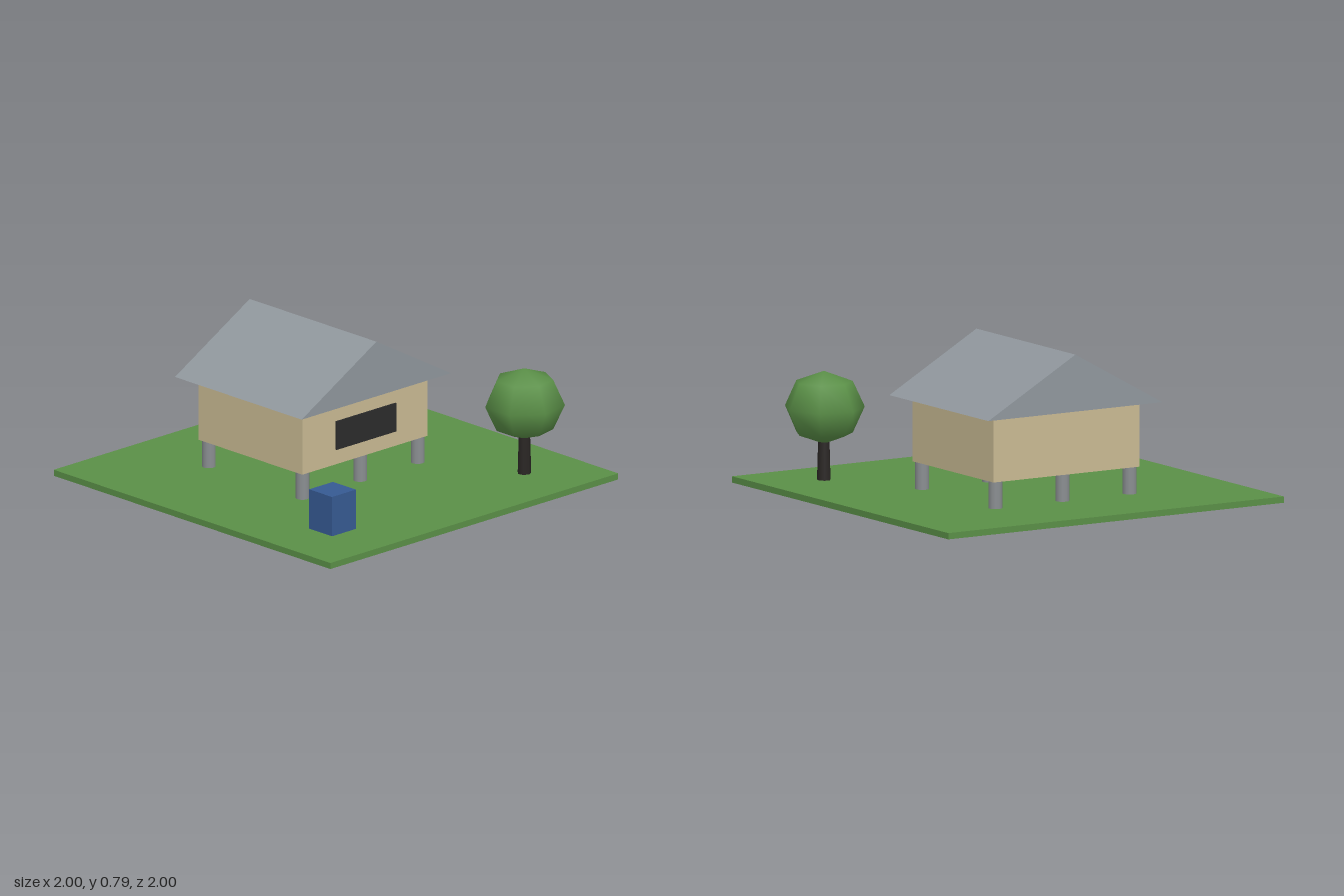
import * as THREE from 'three';

const material = (name, color) => {
  const m = new THREE.MeshStandardMaterial({ color });
  m.name = name;
  return m;
};

export function createModel() {
  const green = material('leaf green', 0x5a8f47);
  const sand = material('sand wall', 0xc9ba93);
  const roofGrey = material('roof grey', 0x90979d);
  const postGrey = material('post grey', 0x8a8e91);
  const dark = material('dark glass', 0x2b2b2b);
  const bark = material('dark bark', 0x2a2624);
  const blue = material('blue', 0x365a92);

  const model = new THREE.Group();
  model.name = 'stiltHouseYard';

  const add = (parent, name, geometry, mat, x = 0, y = 0, z = 0) => {
    const mesh = new THREE.Mesh(geometry, mat);
    mesh.name = name;
    mesh.position.set(x, y, z);
    parent.add(mesh);
    return mesh;
  };
  // Box given by its lower and upper limits on each axis
  const addBox = (parent, name, mat, [x0, x1], [y0, y1], [z0, z1]) =>
    add(parent, name, new THREE.BoxGeometry(x1 - x0, y1 - y0, z1 - z0), mat,
      (x0 + x1) / 2, (y0 + y1) / 2, (z0 + z1) / 2);

  // Lawn slab
  addBox(model, 'lawn', green, [-1, 1], [0, 0.032], [-1, 1]);

  // House body with its front window
  const house = new THREE.Group();
  house.name = 'house';
  model.add(house);
  addBox(house, 'walls', sand, [-0.435, 0.435], [0.17, 0.502], [-0.541, 0.209]);
  addBox(house, 'frontWindow', dark, [-0.208, 0.208], [0.25, 0.4], [0.212, 0.221]);

  // Gable roof: a closed triangular prism running front to back
  const gable = new THREE.Shape([
    new THREE.Vector2(-0.519, 0.502),
    new THREE.Vector2(0.519, 0.502),
    new THREE.Vector2(0, 0.792),
  ]);
  const roof = new THREE.ExtrudeGeometry(gable, { depth: 0.916, bevelEnabled: false });
  add(house, 'roof', roof, roofGrey, 0, 0, -0.624);

  // Stilts: three at the front, three at the back
  const post = new THREE.CylinderGeometry(0.035, 0.035, 0.17, 12);
  for (const z of [0.174, -0.503]) {
    for (const x of [-0.4, 0, 0.4]) add(house, 'stilt', post, postGrey, x, 0.086, z);
  }

  // Storage box on the lawn
  addBox(model, 'waterTank', blue, [-0.708, -0.542], [0.032, 0.24], [0.542, 0.708]);

  // Tree with a coarse, slightly flattened crown
  const tree = new THREE.Group();
  tree.name = 'tree';
  tree.position.set(0.667, 0, 0.667);
  model.add(tree);
  add(tree, 'trunk', new THREE.CylinderGeometry(0.029, 0.036, 0.25, 7), bark, 0, 0.126, 0);
  const crown = add(tree, 'crown', new THREE.SphereGeometry(0.206, 7, 4), green, 0, 0.4, 0);
  crown.scale.y = 0.9;
  crown.rotation.y = Math.PI;

  return model;
}
